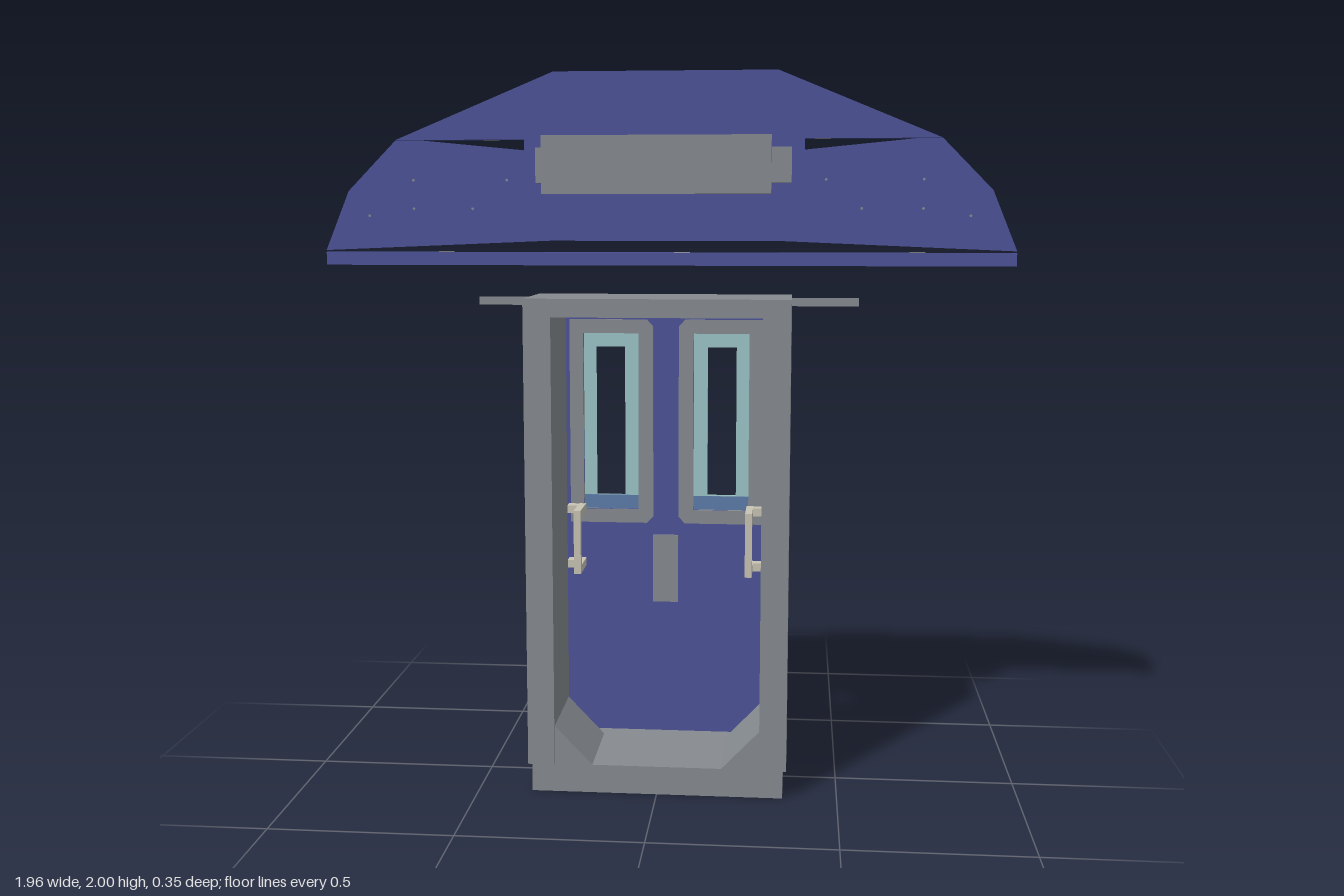
import * as THREE from 'three';

const mat = (name, color) => {
  const m = new THREE.MeshStandardMaterial({ color });
  m.name = name;
  return m;
};

export function createModel() {
  const grey = mat('grey metal', 0x868b90);
  const blue = mat('blue paint', 0x4c5298);
  const cream = mat('cream paint', 0xc7c3b3);
  const teal = mat('pale teal', 0x9cc4c6);
  const sillBlue = mat('sill blue', 0x5b7ca8);
  const railGrey = grey.clone();
  railGrey.name = 'grey sheet';
  railGrey.side = THREE.DoubleSide;

  const model = new THREE.Group();
  model.name = 'doorwayWithCanopy';

  const add = (name, geo, material) => {
    const mesh = new THREE.Mesh(geo, material);
    mesh.name = name;
    model.add(mesh);
    return mesh;
  };
  // Box from its minimum and maximum corners
  const box = (name, x0, x1, y0, y1, z0, z1, material) => {
    const geo = new THREE.BoxGeometry(x1 - x0, y1 - y0, z1 - z0);
    geo.translate((x0 + x1) / 2, (y0 + y1) / 2, (z0 + z1) / 2);
    return add(name, geo, material);
  };
  // Flat outline in x, y pushed from z0 to z1
  const plate = (name, pts, z0, z1, material, holes = []) => {
    const toV = (list) => list.map(([x, y]) => new THREE.Vector2(x, y));
    const shape = new THREE.Shape(toV(pts));
    holes.forEach((h) => shape.holes.push(new THREE.Path(toV(h))));
    const geo = new THREE.ExtrudeGeometry(shape, { depth: z1 - z0, bevelEnabled: false });
    geo.translate(0, 0, z0);
    return add(name, geo, material);
  };
  const rect = (x0, x1, y0, y1) => [[x0, y0], [x1, y0], [x1, y1], [x0, y1]];
  const flip = (pts, s) => pts.map(([x, y]) => [x * s, y]);
  // Close a half outline by mirroring it in x
  const both = (pts) => [...pts, ...flip(pts, -1).reverse()];

  // Base and hollow frame
  box('base', -0.35, 0.35, 0, 0.08, -0.17, 0.17, grey);
  plate('frame', [[-0.36, 0.08], [-0.285, 0.08], [-0.285, 1.33], [0.285, 1.33], [0.285, 0.08],
    [0.36, 0.08], [0.36, 1.38], [-0.36, 1.38]], -0.097, 0.178, grey);

  // Door core and inner blue face, both pierced by the windows
  const windows = [1, -1].map((s) => flip(rect(0.08, 0.24, 0.75, 1.265), s));
  plate('doorCore', rect(-0.31, 0.31, 0.08, 1.34), -0.168, -0.14, grey, windows);
  plate('doorInnerFace', rect(-0.31, 0.31, 0.08, 1.34), -0.14, -0.136, blue, windows);
  box('lockPlate', -0.038, 0.036, 0.475, 0.675, -0.136, -0.129, grey);

  for (const s of [1, -1]) {
    const win = flip(rect(0.08, 0.24, 0.75, 1.265), s);

    // Corner wedge inside the frame
    plate('cornerWedge', flip([[0.285, 0.08], [0.285, 0.19], [0.18, 0.08]], s), -0.09, 0.17, grey);

    // Window surround, glazing frame and sill
    plate('windowSurround', flip([[0.055, 0.71], [0.28, 0.71], [0.28, 1.305], [0.055, 1.305],
      [0.037, 1.285], [0.037, 0.73]], s), -0.136, -0.132, grey, [win]);
    plate('windowFrame', flip(rect(0.08, 0.24, 0.79, 1.265), s), -0.158, -0.146, teal,
      [flip(rect(0.12, 0.203, 0.792, 1.225), s)]);
    const xs = [0.08 * s, 0.24 * s].sort((a, b) => a - b);
    box('windowSill', xs[0], xs[1], 0.75, 0.79, -0.16, -0.144, sillBlue);

    // Painted panels on the outer door face
    plate('lowerPanel', flip([[0.04, 0.08], [0.275, 0.08], [0.275, 0.26], [0.31, 0.32], [0.31, 0.71],
      [0.25, 0.71], [0.235, 0.7], [0.09, 0.7], [0.075, 0.71], [0.035, 0.71], [0.035, 0.4],
      [0.006, 0.355], [0.006, 0.22], [0.04, 0.17]], s), -0.172, -0.168, cream);
    plate('upperPanel', flip([[0.07, 1.295], [0.27, 1.295], [0.31, 1.275], [0.31, 1.34],
      [0.04, 1.34], [0.04, 1.31]], s), -0.172, -0.168, cream);

    // Grab handle: upright, two stand-offs and two mounting feet
    const hx = [0.235 * s, 0.255 * s].sort((a, b) => a - b);
    const fx = [0.235 * s, 0.285 * s].sort((a, b) => a - b);
    box('handleBar', hx[0], hx[1], 0.58, 0.765, -0.035, -0.015, cream);
    for (const y of [0.58, 0.742]) {
      box('handlePost', hx[0], hx[1], y, y + 0.023, -0.136, -0.03, cream);
      box('handleFoot', fx[0], fx[1], y, y + 0.023, -0.13, -0.095, cream);
    }
  }

  // Thin runner sheet above the door
  const rail = add('doorRail', new THREE.PlaneGeometry(1.1, 0.024), railGrey);
  rail.position.set(0, 1.355, -0.17);

  // Canopy: top, middle and bottom boards with a cream rear face
  const boards = {
    canopyTop: both([[0.77, 1.813], [0.315, 2]]),
    canopyMiddle: both([[0.2, 1.535], [0.98, 1.502], [0.91, 1.67], [0.77, 1.812], [0.7, 1.812],
      [0.4, 1.783], [0.16, 1.75]]),
    canopyBottom: rect(-0.98, 0.98, 1.46, 1.497),
  };
  for (const [name, pts] of Object.entries(boards)) {
    plate(name, pts, -0.131, -0.098, blue);
    const rear = name === 'canopyBottom' ? rect(-0.98, 0.98, 1.475, 1.497) : pts;
    plate(name + 'Rear', rear, -0.135, -0.131, cream);
  }

  // Small bolts through the canopy
  for (const s of [1, -1]) {
    for (const [x, y] of [[0.12, 1.62], [0.3, 1.62], [0.55, 1.62], [0.72, 1.62], [0.85, 1.6],
      [0.45, 1.7], [0.72, 1.7]]) {
      const geo = new THREE.CylinderGeometry(0.004, 0.004, 0.04, 8);
      geo.rotateX(Math.PI / 2);
      geo.translate(x * s, y, -0.1165);
      add('bolt', geo, grey);
    }
  }

  // Backing board and the bracket that stands in front of it
  box('backingBoard', -0.395, 0.39, 1.53, 1.86, -0.098, -0.075, blue);
  box('bracketBeam', -0.355, 0.355, 1.69, 1.787, -0.075, -0.02, grey);
  for (const s of [1, -1]) {
    box('bracketArm', 0.197 * s - 0.027, 0.197 * s + 0.027, 1.706, 1.766, -0.02, 0.15, grey);
  }
  box('bracketPlate', -0.305, 0.303, 1.657, 1.81, 0.148, 0.18, grey);

  return model;
}
